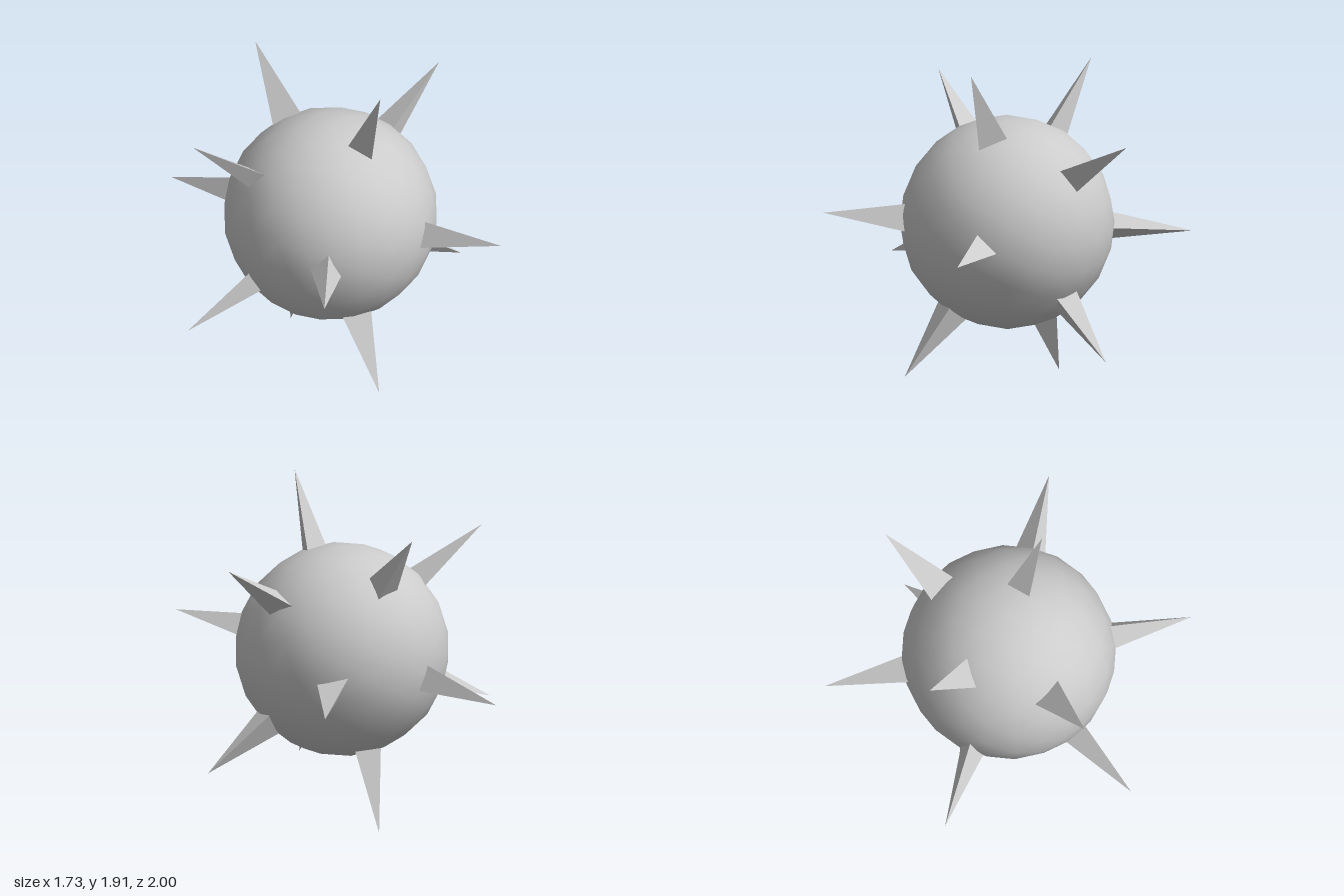
import * as THREE from 'three';

const V = (p) => new THREE.Vector3(...p);
const CENTRE = V([0.04, 0.955, 0.015]);

// Each spike: tip, then the three base corners on the ball
const SPIKES = [
  [[0.03, 1.91, 0.38], [0, 1.52, 0.18], [0.14, 1.505, 0.18], [0.04, 1.463, 0.31]],
  [[0.18, 1.74, -0.64], [0.03, 1.38, -0.39], [0.14, 1.45, -0.29], [0.177, 1.36, -0.39]],
  [[-0.65, 1.6, -0.39], [-0.3, 1.315, -0.3], [-0.355, 1.37, -0.143], [-0.4, 1.28, -0.205]],
  [[0.86, 1.565, 0.105], [0.45, 1.36, 0.125], [0.54, 1.25, 0.095], [0.505, 1.32, -0.03]],
  [[-0.76, 1.05, 0.64], [-0.405, 1.085, 0.374], [-0.365, 0.95, 0.43], [-0.47, 0.995, 0.3]],
  [[0.32, 1.04, 1], [0.187, 1.075, 0.57], [0.127, 0.945, 0.595], [0.29, 0.975, 0.545]],
  [[0.85, 0.865, -0.61], [0.55, 0.925, -0.273], [0.48, 0.83, -0.354], [0.447, 0.963, -0.407]],
  [[-0.865, 0.54, -0.25], [-0.51, 0.79, -0.115], [-0.43, 0.68, -0.206], [-0.47, 0.67, -0.07]],
  [[0.835, 0.365, 0.28], [0.494, 0.652, 0.23], [0.542, 0.663, 0.1], [0.435, 0.535, 0.125]],
  [[-0.255, 0.18, 0.61], [-0.218, 0.53, 0.323], [-0.09, 0.545, 0.415], [-0.06, 0.45, 0.296]],
  [[0.145, 0, -0.36], [0.06, 0.39, -0.16], [0.2, 0.445, -0.236], [0.05, 0.445, -0.284]],
  [[-0.11, 0.81, -1], [-0.03, 0.963, -0.565], [-0.1, 0.832, -0.54], [0.03, 0.83, -0.555]],
];

// Three-sided pyramid whose base is sunk slightly into the ball
function spikeGeometry(tipPoint, corners) {
  const tip = V(tipPoint);
  let base = corners.map((c) => V(c).lerp(tip, -0.05));
  const facing = base[1].clone().sub(base[0]).cross(base[2].clone().sub(base[0]));
  if (facing.dot(tip.clone().sub(CENTRE)) < 0) base = base.reverse();
  const points = [];
  for (let i = 0; i < 3; i++) points.push(base[i], base[(i + 1) % 3], tip);
  points.push(base[2], base[1], base[0]);
  const geometry = new THREE.BufferGeometry().setFromPoints(points);
  geometry.computeVertexNormals();
  return geometry;
}

export function createModel() {
  const model = new THREE.Group();
  model.name = 'spikedBall';
  const smooth = new THREE.MeshStandardMaterial({ color: 0xcccccc });
  const faceted = new THREE.MeshStandardMaterial({ color: 0xcccccc, flatShading: true });

  // Low-poly ball with smooth normals
  const ball = new THREE.Mesh(new THREE.IcosahedronGeometry(0.588, 3), smooth);
  ball.name = 'ball';
  ball.position.copy(CENTRE);
  model.add(ball);

  // Spikes all around the ball
  SPIKES.forEach(([tip, ...corners], i) => {
    const spike = new THREE.Mesh(spikeGeometry(tip, corners), faceted);
    spike.name = `spike${i + 1}`;
    model.add(spike);
  });
  return model;
}
